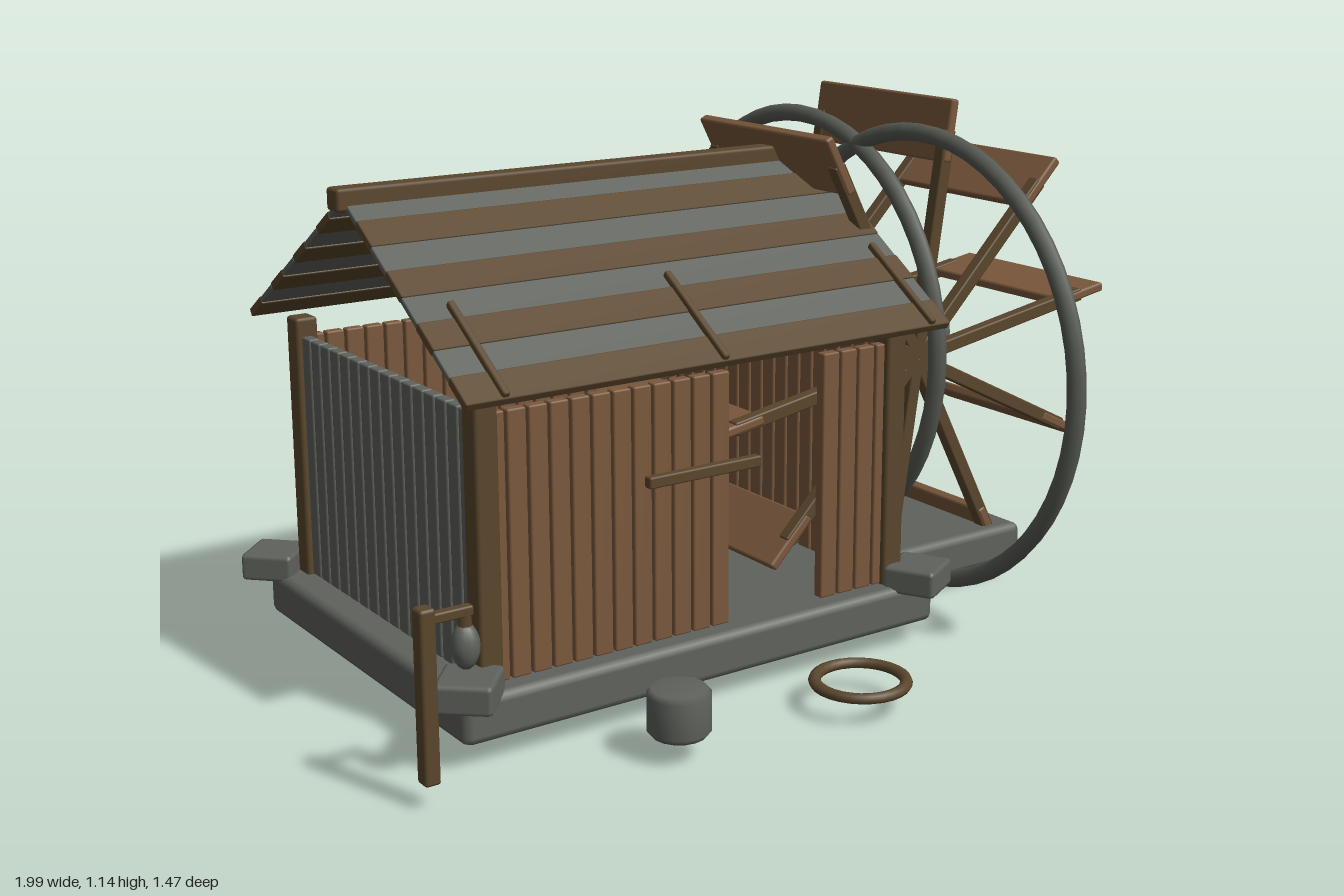
import * as THREE from 'three';
import { RoundedBoxGeometry } from 'three/addons/geometries/RoundedBoxGeometry.js';

const mat = (name, color) => {
  const m = new THREE.MeshStandardMaterial({ color });
  m.name = name;
  return m;
};

export function createModel() {
  const root = new THREE.Group();
  root.name = 'waterMill';
  const wood = mat('plankBrown', 0x7a583c);
  const dark = mat('darkWood', 0x5a462c);
  const stone = mat('stoneGrey', 0x5f625c);
  const iron = mat('ironGrey', 0x575a53);

  const group = (name, parent = root) => {
    const g = new THREE.Group();
    g.name = name;
    parent.add(g);
    return g;
  };
  const add = (parent, name, geo, material, x, y, z) => {
    const m = new THREE.Mesh(geo, material);
    m.name = name;
    m.position.set(x, y, z);
    parent.add(m);
    return m;
  };
  const box = (parent, name, material, w, h, d, x, y, z, r = 0.004) =>
    add(parent, name, new RoundedBoxGeometry(w, h, d, 1, r), material, x, y, z);

  // Stone footing, wheel footing and four turned corner stones
  const base = group('base');
  box(base, 'houseFooting', stone, 1.15, 0.095, 0.89, -0.285, 0.1025, 0, 0.018);
  box(base, 'wheelFooting', stone, 0.56, 0.09, 0.52, 0.445, 0.1, 0, 0.018);
  [[-0.84, -0.45, 0.78], [0.255, -0.43, 0.75], [-0.84, 0.425, 0.85], [0.25, 0.435, 0.5]].forEach(([x, z, a]) => {
    box(base, 'cornerStone', stone, 0.12, 0.06, 0.115, x, 0.165, z, 0.01).rotation.y = a;
  });

  // Plank walls with a doorway in the front
  const walls = group('walls');
  const N = 21, pitch = 0.0465;
  for (let i = 0; i < N; i++) {
    const x = -0.755 + i * pitch;
    const h = 0.53;
    box(walls, 'backPlank', wood, 0.041, h, 0.025, x, 0.15 + h / 2, -0.385);
    if (x < -0.2 || x > 0.02) box(walls, 'frontPlank', wood, 0.041, h, 0.025, x, 0.15 + h / 2, 0.385);
  }
  for (let i = 0; i < 16; i++) {
    const z = -0.345 + i * 0.046;
    box(walls, 'rightSidePlank', stone, 0.025, 0.53, 0.041, -0.78, 0.415, z);
    box(walls, 'leftSidePlank', wood, 0.025, 0.53, 0.041, 0.2, 0.415, z);
  }
  for (const x of [-0.78, 0.2])
    for (const z of [-0.385, 0.385]) box(walls, 'cornerPost', dark, 0.05, 0.58, 0.052, x, 0.43, z, 0.007);
  box(walls, 'doorBar', dark, 0.27, 0.024, 0.022, -0.295, 0.489, 0.411);

  // Gable roof of alternating boards, with short battens near the eaves
  const roof = group('roof');
  const eave = 0.475, rise = 0.308, run = Math.hypot(eave, rise), rows = 8;
  for (const side of [1, -1]) {
    const slope = group('roofSlope', roof);
    slope.position.y = 1.028;
    slope.rotation.y = side > 0 ? 0 : Math.PI;
    const tilt = group('boards', slope);
    tilt.rotation.x = Math.atan2(rise, eave);
    const mid = side * -0.287;
    for (let i = 0; i < rows; i++) {
      box(tilt, 'roofBoard', i % 2 ? dark : stone, 1.14, i % 2 ? 0.018 : 0.013, run / rows + 0.001,
        mid, 0, (i + 0.5) * run / rows, 0.003);
    }
    for (const x of [-0.775, -0.29, 0.235])
      box(tilt, 'batten', dark, 0.015, 0.016, 0.245, side * x, 0.012, run - 0.125);
  }
  box(roof, 'ridgeBeam', dark, 1.18, 0.046, 0.05, -0.287, 1.03, 0, 0.007);

  // Paddle wheel: ten spoke pairs with boards, two iron hoops and a hub
  const wheel = group('wheel');
  wheel.position.set(0.42, 0.58, 0);
  for (let i = 0; i < 10; i++) {
    const arm = group('wheelArm', wheel);
    arm.rotation.z = THREE.MathUtils.degToRad(9.5 + i * 36);
    for (const z of [-0.215, 0.215]) box(arm, 'spoke', dark, 0.51, 0.03, 0.03, 0.255, 0, z);
    box(arm, 'paddle', wood, 0.14, 0.022, 0.465, 0.508, 0, 0, 0.006);
  }
  for (const z of [-0.213, 0.213]) {
    const hoop = add(wheel, 'hoop', new THREE.TorusGeometry(0.503, 0.02, 8, 56), iron, 0, 0, z);
    hoop.rotation.y = Math.PI / 2;
  }
  const hubProfile = [[0, -0.215], [0.075, -0.215], [0.086, -0.204], [0.086, 0.204], [0.075, 0.215], [0, 0.215]]
    .map(([r, y]) => new THREE.Vector2(r, y));
  const hub = add(wheel, 'hub', new THREE.LatheGeometry(hubProfile, 18), stone, 0.015, 0, 0);
  hub.rotation.z = Math.PI / 2;

  // Lamp post with a hanging lantern
  const lamp = group('lampPost');
  box(lamp, 'post', dark, 0.032, 0.335, 0.036, -0.98, 0.2225, 0.528, 0.006);
  box(lamp, 'arm', dark, 0.1, 0.02, 0.022, -0.935, 0.367, 0.528);
  add(lamp, 'hook', new THREE.CylinderGeometry(0.013, 0.013, 0.04, 8), dark, -0.899, 0.35, 0.528);
  add(lamp, 'lantern', new THREE.SphereGeometry(0.027, 12, 10), stone, -0.899, 0.3, 0.528).scale.y = 1.65;

  // Loose stone stump and a wooden hoop lying in front of the door
  const stump = [[0, 0.055], [0.054, 0.055], [0.063, 0.066], [0.063, 0.138], [0.054, 0.149], [0, 0.149]]
    .map(([r, y]) => new THREE.Vector2(r, y));
  add(root, 'stump', new THREE.LatheGeometry(stump, 16), stone, -0.493, 0, 0.61);
  const ring = add(root, 'looseRing', new THREE.TorusGeometry(0.092, 0.013, 8, 28), dark, -0.067, 0.066, 0.63);
  ring.rotation.x = Math.PI / 2;
  ring.scale.z = 0.85;

  return root;
}
